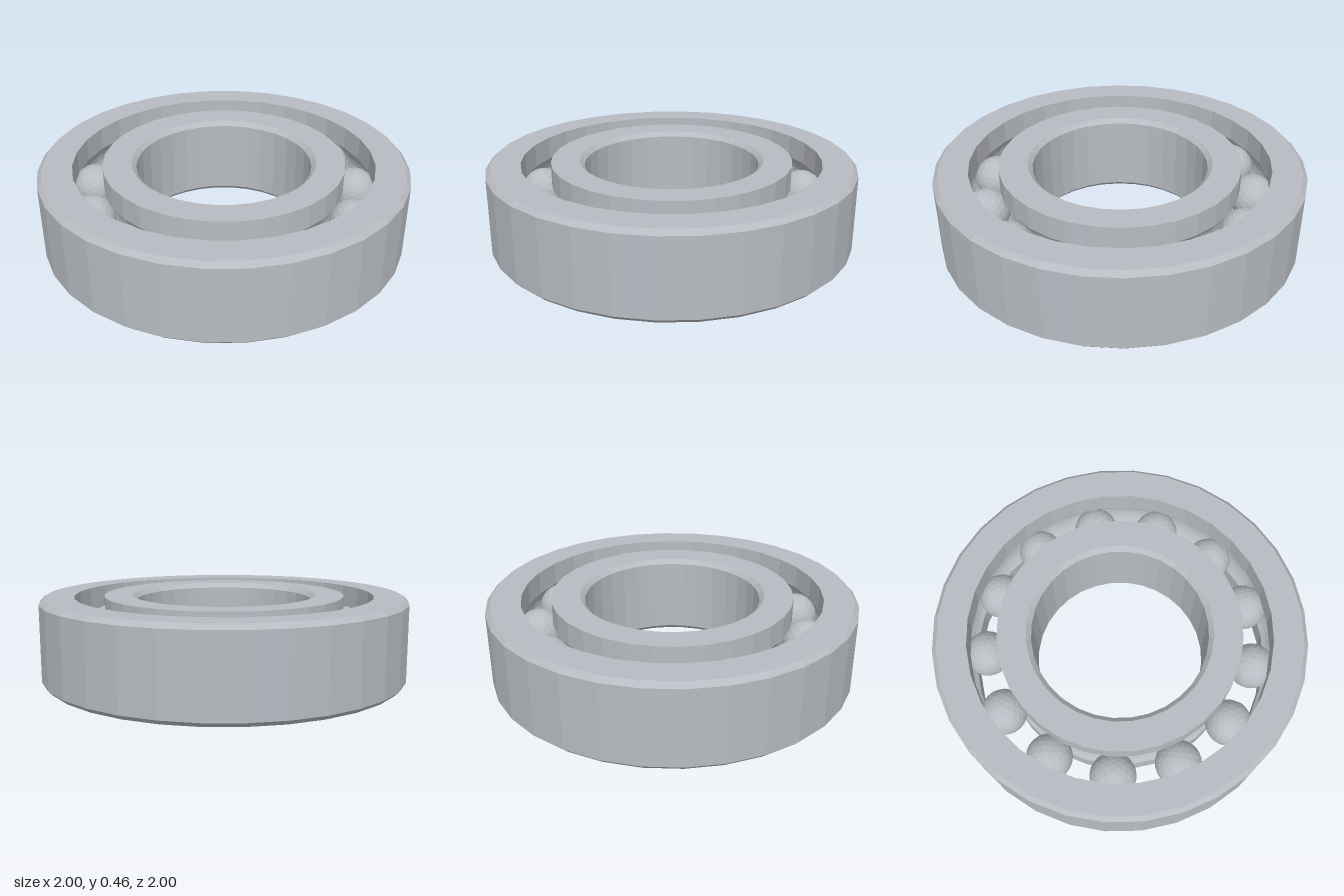
import * as THREE from 'three';

const HEIGHT = 0.46, MID = HEIGHT / 2, BEVEL = 0.025;
const PITCH = 0.735, BALL_RADIUS = 0.125, GROOVE_RADIUS = 0.13;
const BALLS = 13, SEGMENTS = 32;

// Raceway arc in the ring's cross-section, between two angles about the ball centre
function groove(from, to, steps = 8) {
  return Array.from({ length: steps + 1 }, (_, i) => {
    const a = from + (to - from) * i / steps;
    return [PITCH + GROOVE_RADIUS * Math.cos(a), MID + GROOVE_RADIUS * Math.sin(a)];
  });
}

function ring(name, profile, material) {
  const points = profile.map(([r, y]) => new THREE.Vector2(r, y));
  points.push(points[0].clone());
  const mesh = new THREE.Mesh(new THREE.LatheGeometry(points, SEGMENTS), material);
  mesh.name = name;
  return mesh;
}

export function createModel() {
  const group = new THREE.Group();
  group.name = 'ballBearing';
  const steel = new THREE.MeshStandardMaterial({ color: 0xb8bcc2, flatShading: true });
  steel.name = 'steel';

  // Outer race: bevelled outside, grooved inside
  const outerInside = 0.815;
  const t = Math.acos((outerInside - PITCH) / GROOVE_RADIUS);
  group.add(ring('outerRace', [
    [outerInside, 0], [1 - BEVEL, 0], [1, BEVEL],
    [1, HEIGHT - BEVEL], [1 - BEVEL, HEIGHT], [outerInside, HEIGHT],
    ...groove(t, -t),
  ], steel));

  // Inner race: bevelled bore, grooved outside
  const innerOutside = 0.655, bore = 0.475;
  const u = Math.acos((PITCH - innerOutside) / GROOVE_RADIUS);
  group.add(ring('innerRace', [
    [bore + BEVEL, 0], [innerOutside, 0],
    ...groove(Math.PI + u, Math.PI - u),
    [innerOutside, HEIGHT], [bore + BEVEL, HEIGHT],
    [bore, HEIGHT - BEVEL], [bore, BEVEL],
  ], steel));

  // Balls, evenly spaced between the races
  const balls = new THREE.Group();
  balls.name = 'balls';
  const ballGeometry = new THREE.IcosahedronGeometry(BALL_RADIUS, 3);
  for (let i = 0; i < BALLS; i++) {
    const a = i * Math.PI * 2 / BALLS;
    const ball = new THREE.Mesh(ballGeometry, steel);
    ball.name = 'ball';
    ball.position.set(PITCH * Math.cos(a), MID, PITCH * Math.sin(a));
    ball.rotation.y = -a;
    balls.add(ball);
  }
  group.add(balls);
  return group;
}
